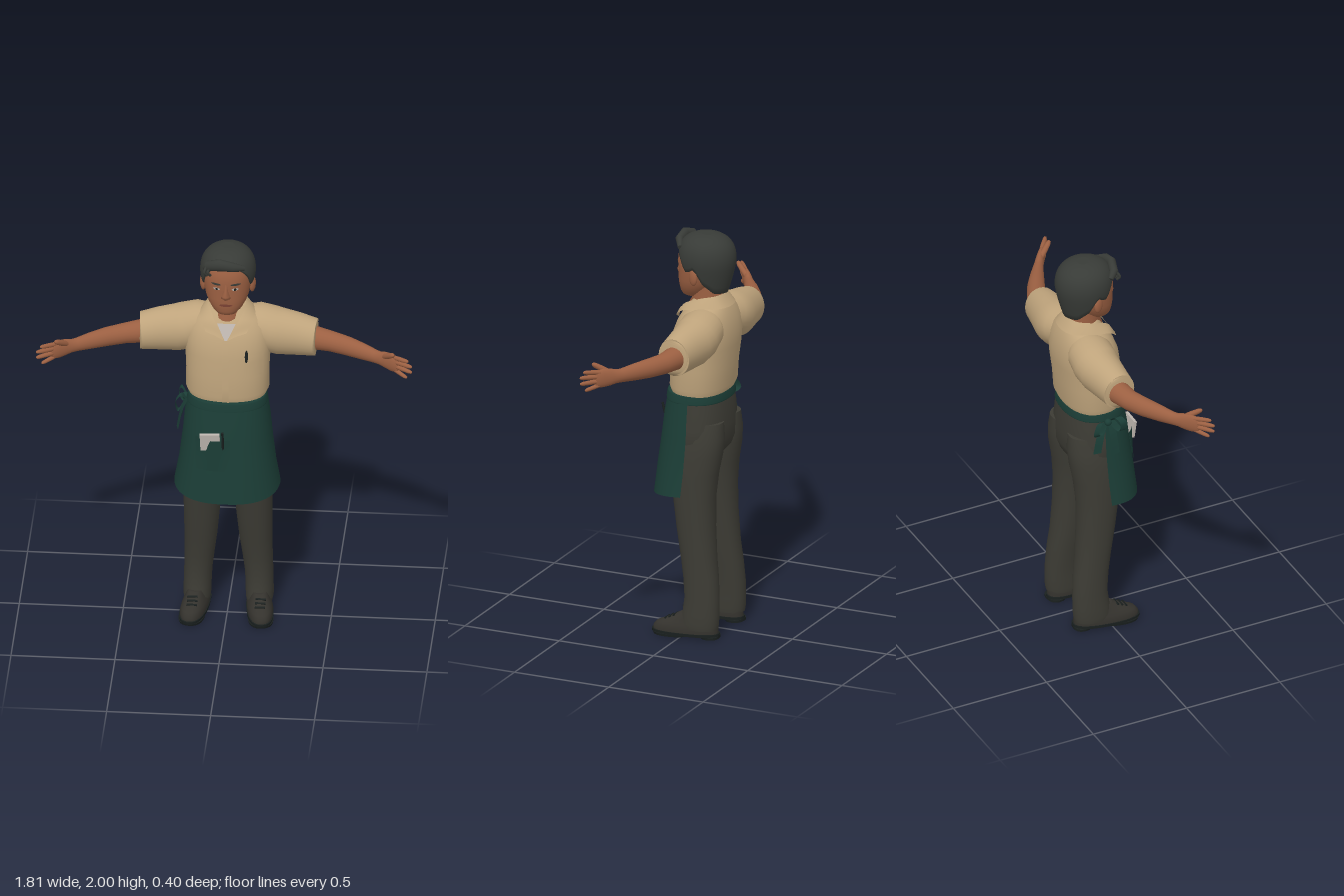
import * as THREE from 'three';

const V = (x, y, z) => new THREE.Vector3(x, y, z);
const mat = (name, color, side = THREE.FrontSide) => {
  const m = new THREE.MeshStandardMaterial({ color, side });
  m.name = name;
  return m;
};

// Skin over a stack of rings; closed rings get flat end caps
function loft(rings, closed = true) {
  const pos = [], idx = [], n = rings[0].length;
  const put = p => pos.push(p.x, p.y, p.z) / 3 - 1;
  rings.forEach(r => r.forEach(put));
  const cols = closed ? n : n - 1;
  for (let i = 0; i < rings.length - 1; i++) for (let j = 0; j < cols; j++) {
    const a = i * n + j, b = i * n + (j + 1) % n;
    idx.push(a, a + n, b, b, a + n, b + n);
  }
  if (closed) [rings[0], rings[rings.length - 1]].forEach((r, top) => {
    const c = put(r.reduce((s, p) => s.add(p), V(0, 0, 0)).divideScalar(n));
    const e = r.map(put);
    for (let j = 0; j < n; j++) {
      const k = (j + 1) % n;
      idx.push(c, top ? e[k] : e[j], top ? e[j] : e[k]);
    }
  });
  const g = new THREE.BufferGeometry();
  g.setAttribute('position', new THREE.Float32BufferAttribute(pos, 3));
  g.setIndex(idx);
  g.computeVertexNormals();
  return g;
}

// Upright body from rows [y, half width, front z, back z, centre x]
const sp = (v, p) => Math.sign(v) * Math.abs(v) ** (2 / p);
function body(rows, p = 2.3, n = 36) {
  return loft(rows.map(([y, rx, f, b, cx = 0]) => Array.from({ length: n }, (_, j) => {
    const a = j / n * Math.PI * 2;
    return V(cx + rx * sp(Math.cos(a), p), y, (f + b) / 2 + (f - b) / 2 * sp(Math.sin(a), p));
  })));
}

// Front z of such a body at (x, y)
function frontZ(rows, p = 2.3) {
  return (x, y) => {
    let i = 0;
    while (i < rows.length - 2 && y > rows[i + 1][0]) i++;
    const t = (y - rows[i][0]) / (rows[i + 1][0] - rows[i][0]);
    const [rx, f, b] = [1, 2, 3].map(k => rows[i][k] + (rows[i + 1][k] - rows[i][k]) * t);
    return (f + b) / 2 + (f - b) / 2 * Math.max(0, 1 - Math.abs(x / rx) ** p) ** (1 / p);
  };
}

// Thin patch lying on a front surface, rectangular or oval
function patch(surf, x0, x1, y0, y1, off, oval = false, n = 8) {
  const rows = [];
  for (let i = 0; i <= n; i++) rows.push(Array.from({ length: n + 1 }, (_, j) => {
    const x = x1 + (x0 - x1) * j / n, s = 2 * j / n - 1;
    const h = (y1 - y0) / 2 * (oval ? Math.sqrt(1 - s * s) : 1);
    const y = (y0 + y1) / 2 + h * (2 * i / n - 1);
    return V(x, y, surf(x, y) + (typeof off === 'function' ? off(s, i / n) : off));
  }));
  return loft(rows, false);
}

// Limb along points [x, y, z, half height, half thickness]
function limb(pts, n = 20) {
  return loft(pts.map((p, i) => {
    const a = pts[Math.max(0, i - 1)], b = pts[Math.min(pts.length - 1, i + 1)];
    const t = V(b[0] - a[0], b[1] - a[1], b[2] - a[2]).normalize();
    const s = t.clone().cross(V(0, 1, 0)).normalize(), u = s.clone().cross(t);
    return Array.from({ length: n }, (_, j) => {
      const q = j / n * Math.PI * 2;
      return V(p[0], p[1], p[2]).addScaledVector(s, Math.cos(q) * p[4]).addScaledVector(u, Math.sin(q) * p[3]);
    });
  }));
}

// Cloth strip of constant width along a curve
function ribbon(pts, w) {
  const c = new THREE.CatmullRomCurve3(pts.map(p => V(...p))).getPoints(24);
  return loft([c, c.map(p => p.clone().add(w))], false);
}

function mirror(g) {
  const m = g.clone().scale(-1, 1, 1), ix = m.index.array;
  for (let i = 0; i < ix.length; i += 3) [ix[i], ix[i + 1]] = [ix[i + 1], ix[i]];
  return m;
}

export function createModel() {
  const root = new THREE.Group();
  const skin = mat('skin', 0x9c6042), shirt = mat('tan shirt', 0xbfa47c, THREE.DoubleSide);
  const green = mat('green apron', 0x1b3d36, THREE.DoubleSide), cloth = mat('dark trousers', 0x3c3b34);
  const hairMat = mat('dark hair', 0x383b37), leather = mat('shoe leather', 0x34322d);
  const pale = mat('pale cloth and paper', 0xbdb5ae), black = mat('black', 0x1a201f), lip = mat('lips', 0x7d4334);
  const add = (name, g, m) => {
    const o = new THREE.Mesh(g, m);
    o.name = name;
    root.add(o);
    return o;
  };
  const both = (name, g, m) => { add(name + 'Left', g, m); add(name + 'Right', mirror(g), m); };

  // Shirt body, placket and chest pocket
  const torso = [[1.17, .178, .1, -.152], [1.215, .184, .106, -.16], [1.25, .2, .116, -.175], [1.35, .2, .112, -.182],
    [1.45, .205, .106, -.195], [1.52, .208, .095, -.199], [1.58, .195, .072, -.19], [1.62, .165, .048, -.178],
    [1.65, .125, .025, -.165], [1.675, .085, .01, -.15]];
  const chest = frontZ(torso);
  add('shirtBody', body(torso), shirt);
  add('placket', patch(chest, -.016, .016, 1.22, 1.55, .004), shirt);
  add('chestPocket', patch(chest, .09, .178, 1.36, 1.48, .006), shirt);
  add('chestPen', patch(chest, .092, .108, 1.44, 1.505, .012, true), black);

  // Sleeves with turned-in hems
  both('sleeve', limb([[.05, 1.58, -.08, .07, .07], [.13, 1.56, -.085, .1, .11], [.2, 1.53, -.085, .115, .112],
    [.25, 1.518, -.083, .115, .105], [.33, 1.511, -.077, .107, .092], [.415, 1.5, -.07, .094, .082],
    [.42, 1.5, -.07, .093, .081], [.421, 1.5, -.07, .084, .073], [.4, 1.5, -.072, .08, .07]], 28), shirt);

  // Collar, undershirt and neck
  const full = h => new THREE.CatmullRomCurve3(
    [...h, ...h.slice(0, -1).reverse().map(([x, y, z]) => [-x, y, z])].map(p => V(...p))).getPoints(48);
  const low = full([[.098, 1.588, .076], [.125, 1.63, .028], [.128, 1.648, -.07], [.08, 1.652, -.158], [0, 1.65, -.18]]);
  const top = full([[.008, 1.555, .098], [.058, 1.64, .05], [.09, 1.69, -.05], [.062, 1.705, -.122], [0, 1.708, -.14]]);
  add('collar', loft([low, low.map((p, i) => p.clone().lerp(top[i], .5).add(V(0, .006, .004))), top], false), shirt);
  add('undershirt', loft([[V(.006, 1.55, .091), V(-.006, 1.55, .091)], [V(.045, 1.625, .056), V(-.045, 1.625, .056)]], false), pale);
  add('neck', body([[1.6, .08, .04, -.14], [1.64, .078, .042, -.14], [1.68, .072, .02, -.138], [1.76, .075, .02, -.14]], 2, 24), skin);

  // Head and face
  const head = [[1.675, .03, .058, -.01], [1.685, .05, .074, -.03], [1.705, .07, .083, -.06], [1.735, .09, .087, -.09],
    [1.77, .104, .09, -.12], [1.82, .114, .088, -.14], [1.86, .117, .092, -.15], [1.91, .115, .086, -.15], [1.95, .1, .065, -.14]];
  const face = frontZ(head, 2.2);
  add('head', body(head, 2.2), skin);
  add('nose', body([[1.772, .012, .09, .04], [1.784, .027, .104, .04], [1.797, .022, .109, .04], [1.825, .013, .099, .04],
    [1.862, .014, .092, .04]], 2, 16), skin);
  both('ear', new THREE.SphereGeometry(1, 16, 12).scale(.014, .042, .025).rotateY(-.35).translate(.119, 1.805, -.03), skin);
  both('eyeWhite', patch(face, .027, .062, 1.827, 1.841, .003, true), pale);
  both('pupil', patch(face, .038, .051, 1.827, 1.841, .005, true), black);
  both('eyebrow', patch(face, .022, .072, 1.856, 1.867, .005, true), hairMat);
  add('mouth', patch(face, -.033, .033, 1.739, 1.753, .005, true), lip);

  // Hair shell whose lower edge follows the hairline
  const line = [[0, 1.935], [.6, 1.925], [.9, 1.88], [1.1, 1.825], [1.3, 1.83], [1.5, 1.85], [1.8, 1.77], [2.3, 1.72], [3.2, 1.71]];
  const edge = a => {
    const i = Math.max(1, line.findIndex(p => p[0] >= a)), [a0, y0] = line[i - 1], [a1, y1] = line[i];
    return y0 + (y1 - y0) * (a - a0) / (a1 - a0);
  };
  const hairRing = (t, tuck) => Array.from({ length: 56 }, (_, j) => {
    const a = j / 56 * Math.PI * 2, az = Math.acos(Math.max(-1, Math.min(1, Math.sin(a))));
    const y = 2 - (2 - edge(az)) * (1 - Math.cos(t * Math.PI / 2));
    const k = y > 1.87 ? (1 - ((y - 1.87) / .1301) ** 2.5) ** .4 : 1 - .27 * ((1.87 - y) / .16) ** 1.3;
    return V(.134 * k * tuck * Math.cos(a), y, -.046 + .145 * k * tuck * Math.sin(a));
  });
  const hairRings = [hairRing(1, .8)];
  for (let i = 14; i >= 1; i--) hairRings.push(hairRing(i / 14, 1));
  add('hair', loft(hairRings), hairMat);
  // Swept fringe
  add('fringe', limb([[-.105, 1.925, .045, .012, .012], [-.085, 1.95, .07, .026, .022], [-.03, 1.965, .085, .03, .022],
    [.03, 1.955, .084, .024, .02], [.085, 1.935, .055, .012, .012]], 16), hairMat);
  for (const x of [-.095, -.078]) add('forelock', new THREE.TubeGeometry(new THREE.CatmullRomCurve3(
    [V(x, 1.95, .08), V(x - .008, 1.925, .093), V(x + .004, 1.905, .084)]), 8, .007, 6), hairMat);

  // Arms, hands and fingers
  both('arm', limb([[.36, 1.502, -.085, .056, .058], [.42, 1.495, -.07, .057, .056], [.5, 1.49, -.05, .05, .048],
    [.58, 1.489, -.013, .047, .043], [.66, 1.487, .032, .041, .034], [.72, 1.485, .068, .034, .026], [.745, 1.486, .085, .035, .023],
    [.77, 1.488, .102, .043, .021], [.8, 1.489, .125, .047, .019], [.825, 1.488, .143, .043, .015], [.835, 1.488, .15, .036, .008]]), skin);
  const finger = (a, b, r) => both('finger', limb([0, .45, .85, 1, 1.04].map((t, i) => {
    const k = r * [1, 1, .88, .6, .2][i];
    return [...a.map((v, m) => v + (b[m] - v) * t), k, k];
  }), 10), skin);
  finger([.815, 1.521, .135], [.882, 1.532, .188], .0115);
  finger([.82, 1.5, .14], [.9, 1.508, .197], .012);
  finger([.82, 1.477, .14], [.9, 1.478, .196], .0115);
  finger([.815, 1.456, .136], [.876, 1.44, .182], .0105);
  finger([.765, 1.508, .104], [.812, 1.556, .174], .0145);

  // Trousers
  add('trouserSeat', body([[.89, .12, .06, -.12], [.93, .185, .09, -.155], [.98, .203, .1, -.172], [1.05, .2, .1, -.174],
    [1.14, .189, .1, -.168], [1.21, .182, .1, -.157]]), cloth);
  both('trouserLeg', body([[.045, .063, .01, -.172, .15], [.07, .067, .016, -.176, .15], [.12, .067, .006, -.178, .149],
    [.2, .068, -.004, -.176, .146], [.3, .073, .005, -.168, .139], [.4, .079, .02, -.155, .132], [.55, .087, .045, -.145, .126],
    [.7, .093, .065, -.143, .121], [.82, .1, .085, -.155, .113], [.92, .104, .098, -.174, .107], [1, .1, .1, -.181, .1],
    [1.08, .085, .09, -.175, .095]], 2.2, 28), cloth);

  // Shoes with sole, heel and laces
  const shoePart = (name, rows, m) => both(name, body(rows, 2.4, 28).rotateY(.13).translate(.157, 0, 0), m);
  shoePart('shoe', [[.02, .061, .152, -.172], [.04, .062, .152, -.172], [.06, .057, .135, -.17], [.075, .05, .1, -.165],
    [.095, .044, .055, -.16], [.115, .04, .02, -.15]], leather);
  shoePart('sole', [[.01, .064, .158, -.178], [.024, .065, .16, -.178]], black);
  shoePart('foreSole', [[0, .06, .15, -.03], [.012, .062, .155, -.035]], black);
  shoePart('heel', [[0, .053, -.09, -.178], [.012, .055, -.085, -.178]], black);
  for (let i = 0; i < 3; i++) both('lace', new THREE.BoxGeometry(.05, .007, .009).rotateX(.5)
    .translate(.164, .1 - i * .01, .042 + i * .022), black);

  // Apron skirt, waistband and pocket
  const skirt = [[.71, .255, .19, -.24], [.85, .233, .175, -.235], [1, .215, .156, -.226], [1.1, .206, .144, -.214], [1.216, .19, .124, -.194]];
  const apronZ = frontZ(skirt, 2.4);
  add('apron', loft(skirt.map(([y, rx, f, b], r) => Array.from({ length: 41 }, (_, j) => {
    const a = j / 40 * Math.PI, c = (f + b) / 2;
    return V(rx * sp(Math.cos(a), 2.4), y + (r ? 0 : .018 - .026 * Math.sin(a)), c + (f - c) * sp(Math.sin(a), 2.4));
  })), false), green);
  add('waistband', body([[1.178, .193, .134, -.167], [1.184, .195, .134, -.169], [1.216, .19, .13, -.165], [1.221, .187, .126, -.162]]), green);
  add('apronPocket', patch(apronZ, -.142, .026, .875, 1.04, (s, t) => .005 + .022 * (1 - s * s) * t), green);
  add('notepad', new THREE.BoxGeometry(.095, .09, .014).rotateX(.12).rotateZ(.04).translate(-.07, 1.03, .164), pale);
  add('pocketPen', new THREE.CylinderGeometry(.006, .006, .12, 10).rotateX(.25).translate(-.008, 1.04, .178), black);

  // Side bow and tails
  const knot = [-.198, 1.18, -.02];
  add('bowLoopFront', ribbon([knot, [-.222, 1.205, .005], [-.245, 1.18, .025], [-.232, 1.13, .02], knot], V(0, 0, .035)), green);
  add('bowLoopBack', ribbon([knot, [-.225, 1.195, -.06], [-.24, 1.15, -.085], [-.22, 1.125, -.06], knot], V(0, 0, -.03)), green);
  add('bowKnot', new THREE.SphereGeometry(.018, 12, 8).translate(-.202, 1.178, -.02), green);
  add('bowTailFront', ribbon([knot, [-.225, 1.11, -.02], [-.245, 1.01, -.015]], V(.01, 0, .04)), green);
  add('bowTailBack', ribbon([knot, [-.22, 1.11, -.05], [-.228, 1.03, -.07]], V(.005, 0, -.04)), green);
  return root;
}
